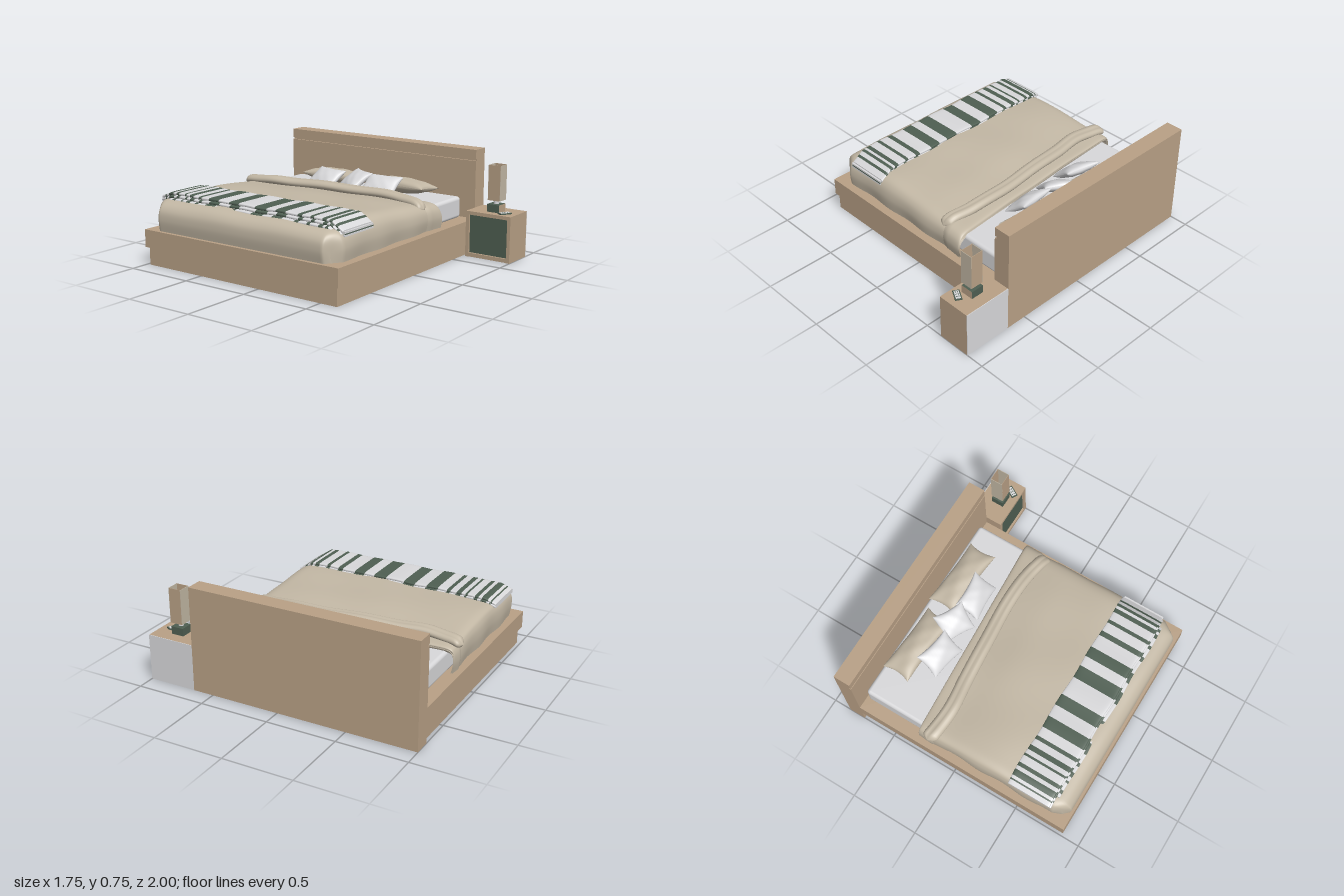
import * as THREE from 'three';
import { mergeVertices } from 'three/addons/utils/BufferGeometryUtils.js';
import { RoundedBoxGeometry } from 'three/addons/geometries/RoundedBoxGeometry.js';

const mat = (name, color, side = THREE.FrontSide) => {
  const m = new THREE.MeshStandardMaterial({ color, side });
  m.name = name;
  return m;
};

export function createModel() {
  const wood = mat('wood', 0xb9a186);
  const white = mat('white linen', 0xd9d9db, THREE.DoubleSide);
  const beige = mat('beige linen', 0xc3b8a5, THREE.DoubleSide);
  const green = mat('dark green', 0x4f5f52, THREE.DoubleSide);

  const model = new THREE.Group();
  const add = (name, geometry, material, parent = model) => {
    const mesh = new THREE.Mesh(geometry, material);
    mesh.name = name;
    parent.add(mesh);
    return mesh;
  };
  // box given by its two opposite corners
  const box = (name, material, x0, x1, y0, y1, z0, z1) => {
    const m = add(name, new THREE.BoxGeometry(x1 - x0, y1 - y0, z1 - z0), material);
    m.position.set((x0 + x1) / 2, (y0 + y1) / 2, (z0 + z1) / 2);
    return m;
  };
  // smooth grid surface from a rule f(u, v) -> [x, y, z]
  const surface = (nu, nv, f) => {
    const g = new THREE.PlaneGeometry(1, 1, nu, nv);
    const p = g.attributes.position;
    for (let i = 0; i < p.count; i++) p.setXYZ(i, ...f(p.getX(i) + 0.5, p.getY(i) + 0.5));
    g.deleteAttribute('uv');
    g.deleteAttribute('normal');
    const merged = mergeVertices(g, 1e-5);
    merged.computeVertexNormals();
    return merged;
  };
  const spline = (pts) => new THREE.SplineCurve(pts.map(([a, b]) => new THREE.Vector2(a, b)));

  // bed frame
  box('plinth', wood, -0.86, 0.76, 0, 0.125, -0.975, 0.63);
  box('platform', wood, -0.875, 0.76, 0.125, 0.25, -1, 0.65);
  box('headboard', wood, 0.765, 0.872, 0, 0.745, -1, 0.65);
  box('headboardPanel', wood, 0.75, 0.766, 0, 0.665, -1, 0.65);
  box('headboardCap', wood, 0.75, 0.766, 0.68, 0.745, -1, 0.65);

  // mattress
  const mattress = add('mattress', new RoundedBoxGeometry(1.55, 0.155, 1.455, 4, 0.025), white);
  mattress.position.set(-0.04, 0.325, -0.183);

  // duvet: a lengthwise profile multiplied by a crosswise drape
  const along = spline([[-0.852, 0.25], [-0.862, 0.33], [-0.85, 0.4], [-0.8, 0.447], [-0.7, 0.466],
    [-0.5, 0.474], [-0.3, 0.477], [-0.05, 0.465], [0.12, 0.448], [0.24, 0.435], [0.325, 0.425], [0.335, 0.4]]);
  const across = spline([[-0.945, 0], [-0.957, 0.4], [-0.95, 0.75], [-0.915, 0.93], [-0.8, 0.98], [-0.5, 1],
    [-0.2, 1.01], [0.1, 1], [0.4, 0.98], [0.525, 0.93], [0.58, 0.74], [0.598, 0.4], [0.588, 0]]);
  const duvetPoint = (u, v, lift = 0) => {
    const a = along.getPoint(u), c = across.getPoint(v);
    const mid = (c.x + 0.18) / 0.775;
    const corner = Math.max(0, Math.abs(mid) - 0.9) * Math.max(0, -a.x - 0.75) * 4;
    const ripple = 0.005 * Math.sin(9 * a.x + 4 * c.x) * Math.sin(7 * c.x - 3 * a.x);
    const hang = 0.006 * Math.sin(a.x * 17 + c.x * 2) * (1 - c.y);
    const h = a.y - 0.25;
    return [
      a.x + u ** 3 * 0.07 * c.x + corner,
      0.251 + (h + ripple * Math.min(1, h * 6) + lift) * c.y,
      c.x + (hang + lift * 0.9) * Math.sign(mid) * Math.min(1, Math.abs(mid)) - corner * Math.sign(mid),
    ];
  };
  add('duvet', surface(70, 80, (u, v) => duvetPoint(u, v)), beige);
  add('duvetTurnover', surface(16, 80, (u, v) => duvetPoint(0.78 + 0.22 * u, v, 0.009 * Math.min(1, u * 8))), beige);

  // gathered roll across the turned-over duvet
  const rollPath = new THREE.CatmullRomCurve3([[0.19, 0.43, -0.985], [0.175, 0.452, -0.88], [0.165, 0.462, -0.72],
    [0.19, 0.465, -0.5], [0.215, 0.465, -0.2], [0.24, 0.462, 0.1], [0.235, 0.455, 0.35], [0.21, 0.437, 0.5],
    [0.195, 0.41, 0.575]].map((p) => new THREE.Vector3(...p)));
  add('duvetRoll', surface(60, 24, (u, v) => {
    const c = rollPath.getPoint(u), t = v * Math.PI * 2;
    const end = Math.min(1, Math.sqrt(Math.min(u, 1 - u) * 25) + 0.02);
    const w = (0.055 - 0.008 * u) * end, h = 0.034 * end;
    const crease = 1 - 0.28 * Math.exp(-(((t - 1.25 - 0.5 * u) / 0.22) ** 2));
    return [c.x + w * Math.cos(t) * crease, c.y + h * Math.sin(t) * crease + 0.003 * Math.sin(u * 30), c.z];
  }), beige);

  // striped throw: consecutive colour bands, each a short loft of a rounded section
  const bands = [[-0.93, -0.92], [-0.9, -0.858], [-0.832, -0.806], [-0.752, -0.736], [-0.704, -0.668],
    [-0.62, -0.593], [-0.525, -0.44], [-0.35, -0.265], [-0.122, -0.027], [0.048, 0.127], [0.228, 0.265],
    [0.334, 0.36], [0.424, 0.456], [0.477, 0.498], [0.524, 0.54]];
  const throwLayer = (name, x0, x1, y0, y1, z0, z1, shift) => {
    const group = new THREE.Group();
    group.name = name;
    model.add(group);
    const section = (z, v, scale = 1) => {
      const t = v * Math.PI * 2, c = Math.cos(t), s = Math.sin(t);
      const sx = Math.sign(c) * Math.abs(c) ** 0.25, sy = Math.sign(s) * Math.abs(s) ** 0.5;
      const drop = 0.7 * Math.max(0, z - 0.49) + 0.4 * Math.max(0, -0.88 - z);
      return [(x0 + x1) / 2 + sx * scale * (x1 - x0) / 2 + 0.004 * Math.sin(z * 14),
        (y0 + y1) / 2 + sy * scale * (y1 - y0) / 2 - drop + 0.002 * Math.sin(z * 23), z];
    };
    const band = (a, b, m) => {
      if (b - a > 1e-4) add('throwBand', surface(Math.ceil((b - a) / 0.03), 40,
        (u, v) => section(a + (b - a) * u, v)), m, group);
    };
    let z = z0;
    for (const [a, b] of bands) {
      const s = Math.max(z0, a + shift), e = Math.min(z1, b + shift);
      if (e <= s) continue;
      band(z, s, white);
      band(s, e, green);
      z = e;
    }
    band(z, z1, white);
    for (const end of [z0, z1]) add('throwEnd', surface(2, 40, (u, v) => section(end, v, u)), white, group);
  };
  throwLayer('throwTop', -0.735, -0.42, 0.482, 0.505, -0.96, 0.578, 0);
  throwLayer('throwMiddle', -0.745, -0.424, 0.462, 0.484, -0.955, 0.572, 0.012);
  throwLayer('throwBottom', -0.765, -0.43, 0.44, 0.466, -0.87, 0.555, -0.01);
  // folded edges seen at the end of the throw
  for (const y of [0.405, 0.425]) box('throwFold', white, -0.73, -0.425, y, y + 0.012, 0.5, 0.592);
  box('throwFoldStripe', green, -0.72, -0.425, 0.418, 0.425, 0.5, 0.593);

  // pillows: two bulged faces meeting at a seam with pinched corners
  const pillow = (name, material, w, d, t, pos, rot) => {
    const group = new THREE.Group();
    group.name = name;
    for (const s of [1, -1]) {
      add('pillowFace', surface(22, 22, (u, v) => {
        const a = Math.sin((u - 0.5) * Math.PI), b = Math.sin((v - 0.5) * Math.PI);
        const bulge = ((1 - a * a) * (1 - b * b)) ** 0.42;
        const crease = 1 + 0.07 * Math.sin(5 * a + 3 * b) * Math.sin(6 * b);
        return [a * w / 2 * (1 - 0.12 * (1 - b * b)), s * bulge * crease * t / 2,
          s * b * d / 2 * (1 - 0.08 * (1 - a * a))];
      }), material, group);
    }
    group.position.set(...pos);
    group.rotation.set(...rot, 'YXZ');
    model.add(group);
  };
  pillow('backPillow', beige, 0.21, 0.52, 0.11, [0.605, 0.455, -0.455], [0, -0.06, -0.1]);
  pillow('frontPillow', beige, 0.21, 0.51, 0.11, [0.61, 0.455, 0.115], [0, -0.05, -0.1]);
  pillow('backCushion', white, 0.2, 0.27, 0.08, [0.435, 0.468, -0.44], [0, -0.2, 0.62]);
  pillow('middleCushion', white, 0.21, 0.23, 0.08, [0.475, 0.475, -0.2], [0, -0.48, 0.6]);
  pillow('frontCushion', white, 0.2, 0.28, 0.08, [0.45, 0.468, 0.045], [0, 0.06, 0.62]);

  // nightstand: wooden shell, pale back and base, dark recessed front
  box('nightstandTop', wood, 0.63, 0.868, 0.305, 0.33, 0.65, 1);
  box('nightstandSide', wood, 0.63, 0.868, 0, 0.305, 0.975, 1);
  box('nightstandSide', wood, 0.63, 0.868, 0, 0.305, 0.65, 0.675);
  box('nightstandRail', wood, 0.63, 0.66, 0.002, 0.03, 0.675, 0.975);
  box('nightstandFront', green, 0.645, 0.66, 0.03, 0.305, 0.675, 0.975);
  box('nightstandBase', white, 0.66, 0.868, 0, 0.02, 0.675, 0.975);
  box('nightstandBack', white, 0.868, 0.872, 0, 0.33, 0.65, 1);

  // table lamp
  box('lampBase', [green, green, green, green, wood, green], 0.692, 0.784, 0.33, 0.385, 0.782, 0.875);
  const stem = add('lampStem', new THREE.CylinderGeometry(0.018, 0.018, 0.035, 20), white);
  stem.position.set(0.738, 0.402, 0.828);
  for (const x of [0.693, 0.781]) box('shadeSide', wood, x, x + 0.003, 0.413, 0.663, 0.785, 0.878);
  for (const z of [0.784, 0.876]) box('shadePanel', beige, 0.693, 0.784, 0.413, 0.663, z, z + 0.003);

  // handset lying on the nightstand
  const handset = new THREE.Group();
  handset.name = 'handset';
  add('handsetBody', new THREE.BoxGeometry(0.088, 0.008, 0.046), green, handset).position.y = 0.334;
  add('handsetFace', new THREE.BoxGeometry(0.072, 0.003, 0.032), white, handset).position.y = 0.339;
  for (let i = 0; i < 6; i++) {
    add('handsetKey', new THREE.BoxGeometry(0.007, 0.002, 0.007), green, handset)
      .position.set(-0.022 + (i % 3) * 0.02, 0.341, i < 3 ? -0.007 : 0.007);
  }
  handset.position.set(0.698, 0, 0.918);
  handset.rotation.y = -0.53;
  model.add(handset);

  return model;
}
